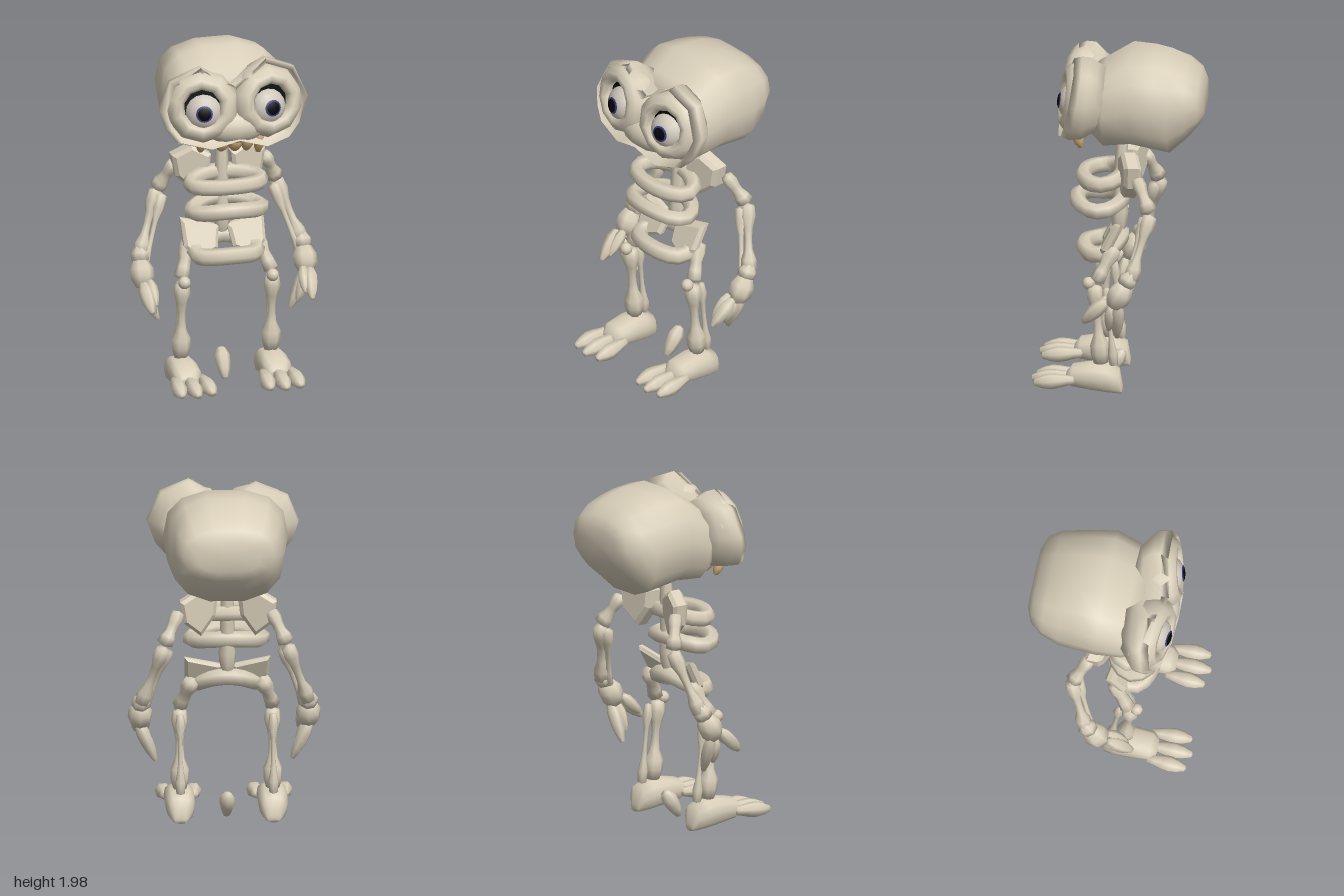
import * as THREE from 'three';

const mat = (name, color) => {
  const m = new THREE.MeshStandardMaterial({ color });
  m.name = name;
  return m;
};
const V = (a) => new THREE.Vector3(...a);

export function createModel() {
  const model = new THREE.Group();
  model.name = 'cartoonSkeleton';
  const boneMat = mat('bone', 0xd8ceb9);
  const toothMat = mat('tooth', 0xcbaa78);
  const eyeMat = mat('eyeball', 0xd0c8bc);
  const irisMat = mat('iris', 0x3c3a80);
  const blackMat = mat('black', 0x06060a);

  const add = (name, geo, material = boneMat, parent = model) => {
    const m = new THREE.Mesh(geo, material);
    m.name = name;
    parent.add(m);
    return m;
  };

  // Turned bone from a to b, with radii spaced evenly along it
  const bone = (name, a, b, radii, material = boneMat, sides = 7) => {
    const p = V(a), d = V(b).sub(p), L = d.length(), n = radii.length - 1;
    const pts = [new THREE.Vector2(0, -0.35 * radii[0])];
    radii.forEach((r, i) => pts.push(new THREE.Vector2(r, (L * i) / n)));
    pts.push(new THREE.Vector2(0, L + 0.35 * radii[n]));
    const m = add(name, new THREE.LatheGeometry(pts, sides), material);
    m.position.copy(p);
    m.quaternion.setFromUnitVectors(new THREE.Vector3(0, 1, 0), d.normalize());
  };

  // Closed skin through rings of points (counter-clockwise from the front, back ring first)
  const loft = (rings) => {
    const n = rings[0].length, last = rings.length - 1, start = n * rings.length, idx = [];
    const centre = (ring) => [0, 1, 2].map((c) => ring.reduce((sum, p) => sum + p[c], 0) / n);
    const pos = [...rings.flat(), centre(rings[0]), centre(rings[last])].flat();
    for (let j = 0; j < n; j++) {
      const k = (j + 1) % n;
      for (let i = 0; i < last; i++) {
        const a = i * n + j, b = i * n + k;
        idx.push(a, b, b + n, a, b + n, a + n);
      }
      idx.push(start, k, j, start + 1, last * n + j, last * n + k);
    }
    const g = new THREE.BufferGeometry();
    g.setAttribute('position', new THREE.Float32BufferAttribute(pos, 3));
    g.setIndex(idx);
    g.computeVertexNormals();
    return g;
  };

  // Rounded-box ring
  const section = (cx, power, n) => ([z, w, lo, hi]) => Array.from({ length: n }, (_, j) => {
    const t = (j / n) * Math.PI * 2;
    const soft = (v) => Math.sign(v) * Math.abs(v) ** power;
    return [cx + w * soft(Math.cos(t)), (lo + hi) / 2 + ((hi - lo) / 2) * soft(Math.sin(t)), z];
  });

  // Bevelled plate whose depth follows the rule zOf(x, y)
  const plate = (name, points, depth, zOf) => {
    const shape = new THREE.Shape(points.map(([x, y]) => new THREE.Vector2(x, y)));
    const g = new THREE.ExtrudeGeometry(shape, {
      depth, bevelEnabled: true, bevelThickness: 0.02, bevelSize: 0.02, bevelOffset: -0.015, bevelSegments: 1,
    });
    const p = g.attributes.position;
    for (let i = 0; i < p.count; i++) p.setZ(i, p.getZ(i) - depth / 2 + zOf(p.getX(i), p.getY(i)));
    g.computeVertexNormals();
    add(name, g);
  };

  // Closed elliptical ring of bone, falling toward the front and sagging at the sides
  const ring = (name, y, cz, rx, rz, drop, sag, radius) => {
    const pts = [];
    for (let i = 0; i < 12; i++) {
      const t = (i / 12) * Math.PI * 2, c = Math.cos(t), s = Math.sin(t);
      pts.push(new THREE.Vector3(-0.025 + rx * c, y - drop * s - sag * c * c, cz + rz * s));
    }
    add(name, new THREE.TubeGeometry(new THREE.CatmullRomCurve3(pts, true), 20, radius, 6, true));
  };

  // Cranium
  add('cranium', loft([
    [-0.49, 0.18, 1.62, 1.8], [-0.46, 0.26, 1.56, 1.86], [-0.39, 0.305, 1.48, 1.92],
    [-0.29, 0.325, 1.39, 1.965], [-0.2, 0.34, 1.41, 1.985], [-0.07, 0.358, 1.44, 1.995],
    [0.08, 0.33, 1.425, 1.905], [0.15, 0.29, 1.5, 1.87],
  ].map(section(-0.01, 0.78, 14))));

  // Heart-shaped face, leaning back at the top and at the outer edges
  const heart = [[0.425, 1.745], [0.35, 1.92], [0.185, 1.985], [-0.015, 1.85], [-0.2, 1.96], [-0.38, 1.885],
    [-0.445, 1.725], [-0.415, 1.62], [-0.355, 1.54], [-0.175, 1.495], [-0.005, 1.54], [0.17, 1.485],
    [0.31, 1.525], [0.375, 1.6]];
  add('face', loft([[0.72, 0.07, 0], [0.84, 0.13, 0.3], [0.985, 0.2, 0.7], [1, 0.27, 1], [0.94, 0.315, 1], [0.84, 0.2, 1]]
    .map(([s, z, lean]) => heart.map(([x, y]) => [
      -0.01 + s * (x + 0.01), 1.73 + s * (y - 1.73), z - lean * (0.18 * (y - 1.73) + 0.12 * Math.abs(x))]))));

  // Muzzle below and between the eye rims
  const muzzle = add('muzzle', new THREE.SphereGeometry(1, 12, 8));
  muzzle.scale.set(0.19, 0.1, 0.1);
  muzzle.position.set(-0.01, 1.61, 0.25);

  // Eye rims, sockets and eyes
  const rim = [[0.2, -0.03], [0.216, 0.03], [0.195, 0.085], [0.16, 0.115], [0.128, 0.115], [0.106, 0.09], [0.104, 0.03]]
    .map(([r, z]) => new THREE.Vector2(r, z));
  for (const s of [-1, 1]) {
    const eye = new THREE.Group();
    eye.name = s > 0 ? 'leftEye' : 'rightEye';
    eye.position.set(-0.01 + s * 0.187, 1.735, 0.2);
    eye.rotation.set(-0.15, s * 0.18, 0);
    model.add(eye);
    add('eyeRim', new THREE.LatheGeometry(rim, 10).rotateX(Math.PI / 2), boneMat, eye);
    add('socket', new THREE.CircleGeometry(0.11, 12), blackMat, eye).position.z = 0.065;
    const ball = (name, r, theta, m) => {
      const g = new THREE.SphereGeometry(r, 16, 8, 0, Math.PI * 2, 0, theta).rotateX(Math.PI / 2).scale(1, 1, 0.8);
      add(name, g, m, eye).position.set(-s * 0.008, -0.03, 0.05);
    };
    ball('eyeball', 0.107, Math.PI, eyeMat);
    ball('iris', 0.109, 0.46, irisMat);
    ball('pupil', 0.111, 0.35, blackMat);
  }

  // Teeth
  for (const [x, low, r] of [[-0.205, 1.46, 0.028], [-0.085, 1.46, 0.04], [-0.005, 1.455, 0.04],
    [0.065, 1.45, 0.035], [0.135, 1.43, 0.03]])
    bone('tooth', [x, 1.54, 0.25], [x, low, 0.21], [r * 0.8, r, r, r * 0.5], toothMat);

  // Spine, ribs and pelvis
  bone('spine', [-0.025, 1.47, -0.01], [-0.025, 0.85, 0.01], [0.03, 0.035, 0.04, 0.04, 0.042, 0.042, 0.05, 0.045, 0.015]);
  ring('upperRib', 1.235, 0.095, 0.205, 0.115, 0.01, 0.015, 0.047);
  ring('lowerRib', 1.09, 0.115, 0.205, 0.13, 0, 0.03, 0.047);
  ring('pelvicRing', 0.835, 0.1, 0.18, 0.105, 0.03, 0.035, 0.05);

  // Loose tail bone
  bone('tailBone', [-0.025, 0.17, -0.015], [-0.025, 0.025, 0.085], [0.025, 0.045, 0.043, 0.035, 0.02]);

  for (const s of [-1, 1]) {
    const side = s > 0 ? 'left' : 'right';
    const B = (x, y, z) => [-0.025 + s * x, y, z];
    const A = (x, y, z) => [s * x - 0.005, y, z];
    const outline = (pts) => pts.map(([x, y]) => [-0.025 + s * x, y]);

    plate(side + 'PelvisWing', outline([[0.24, 0.98], [0.03, 0.93], [0.05, 0.82], [0.17, 0.77], [0.235, 0.84]]),
      0.025, (x, y) => (0.97 - y) * 0.5);
    plate(side + 'ShoulderBlade', outline([[0.165, 1.4], [0.065, 1.35], [0.075, 1.25], [0.155, 1.14], [0.25, 1.22], [0.27, 1.34]]),
      0.06, (x) => -0.02 - Math.abs(x + 0.025) * 0.28);

    // Arm
    bone(side + 'UpperArm', A(0.265, 1.28, -0.12), A(0.345, 1.12, -0.19), [0.035, 0.042, 0.034, 0.032, 0.045, 0.05]);
    bone(side + 'Forearm', A(0.355, 1.09, -0.2), A(0.475, 0.75, -0.1), [0.04, 0.045, 0.028, 0.022, 0.024, 0.045, 0.045]);
    bone(side + 'ForearmThin', A(0.33, 1.07, -0.17), A(0.445, 0.72, -0.07), [0.035, 0.035, 0.016, 0.014, 0.016, 0.025]);
    bone(side + 'Wrist', A(0.475, 0.79, -0.11), A(0.48, 0.72, -0.07), [0.03, 0.055, 0.05]);
    bone(side + 'Palm', A(0.48, 0.72, -0.07), A(0.48, 0.59, 0.0), [0.045, 0.07, 0.07, 0.045]);
    for (const [from, to, r] of [
      [[0.49, 0.6, -0.03], [0.39, 0.38, -0.015], 0.038], [[0.47, 0.58, 0.01], [0.42, 0.43, 0.03], 0.034],
      [[0.49, 0.62, 0.04], [0.47, 0.49, 0.175], 0.042], [[0.45, 0.63, 0.03], [0.44, 0.52, 0.14], 0.034],
    ]) bone(side + 'Finger', A(...from), A(...to), [0.6 * r, r, r, 0.8 * r, 0.35 * r], boneMat, 6);

    // Leg
    bone(side + 'Thigh', B(0.2, 0.84, 0.02), B(0.265, 0.67, 0.11), [0.045, 0.05, 0.035, 0.04, 0.045]);
    add(side + 'Kneecap', new THREE.SphereGeometry(0.037, 8, 6)).position.set(...B(0.26, 0.65, 0.16));
    bone(side + 'Shin', B(0.265, 0.63, 0.125), B(0.265, 0.18, 0.09), [0.04, 0.05, 0.035, 0.024, 0.024, 0.03, 0.055, 0.055, 0.04]);
    bone(side + 'ShinThin', B(0.265, 0.62, 0.06), B(0.265, 0.17, 0.015), [0.02, 0.03, 0.016, 0.013, 0.013, 0.018, 0.03, 0.025]);

    // Foot
    add(side + 'Foot', loft([
      [-0.035, 0.035, 0.005, 0.05], [-0.015, 0.07, 0.005, 0.15], [0.05, 0.085, 0.012, 0.178], [0.14, 0.088, 0.025, 0.185],
      [0.25, 0.085, 0.045, 0.165], [0.285, 0.055, 0.06, 0.12],
    ].map(section(-0.025 + s * 0.265, 0.75, 12))));
    [-1, 0, 1].forEach((i) => bone(side + 'Toe', B(0.26 + i * 0.08, 0.095, 0.24),
      B(0.26 + i * 0.09, 0.078, i ? 0.46 : 0.48), [0.025, 0.032, 0.042, 0.047, 0.038, 0.02]));
  }
  return model;
}
